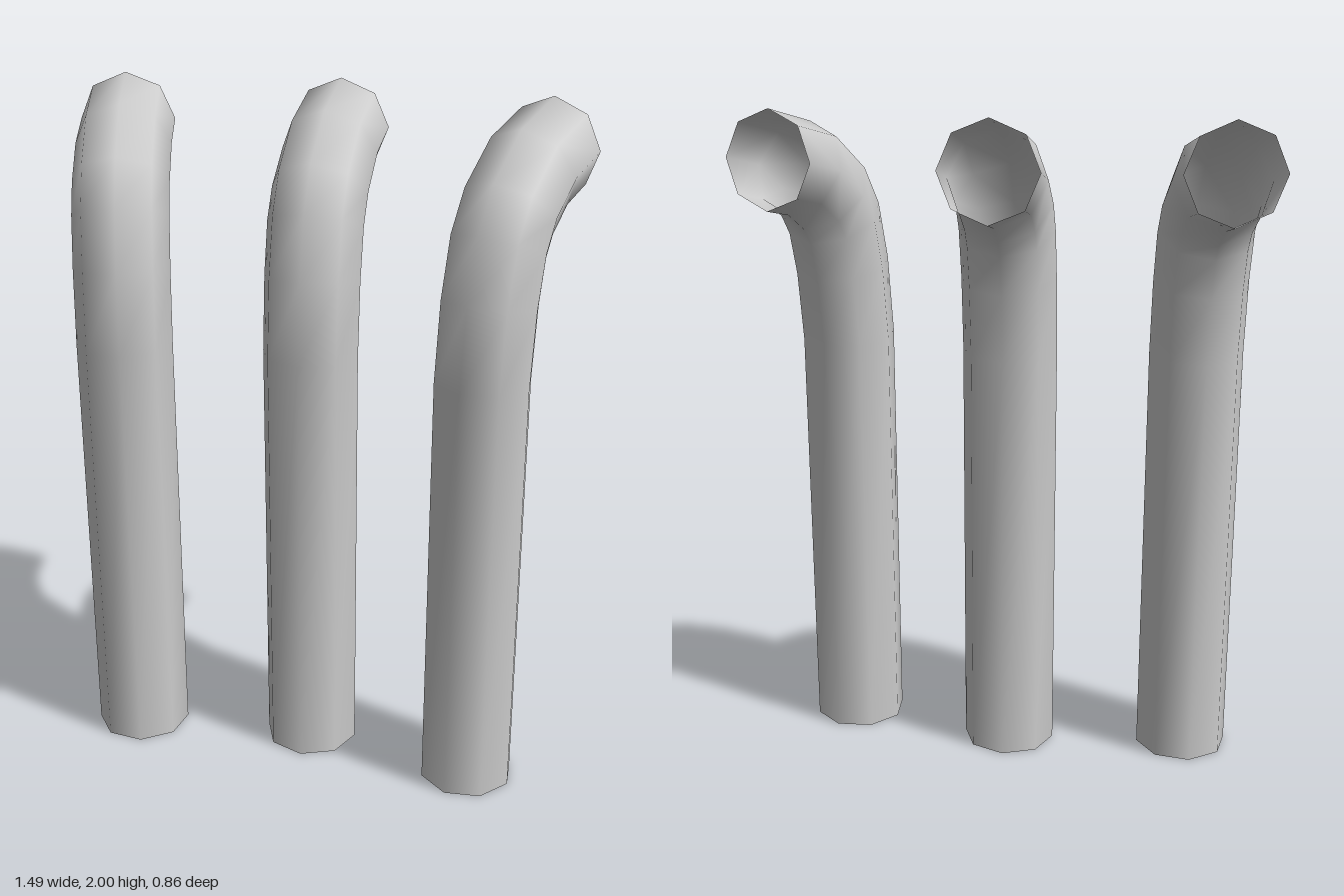
import * as THREE from 'three';

const SIDES = 8;
const RADIUS = 0.141;

// Centre line of a bent pipe: [reach, height, lean from vertical in degrees]
const RINGS = [
  [0, 0, 0],
  [0.008, 1.28, 3],
  [0.033, 1.5, 10],
  [0.072, 1.65, 24],
  [0.127, 1.735, 43],
  [0.244, 1.82, 64],
  [0.398, 1.86, 85],
];

// Open tube swept through the rings, bending towards -z
function pipeGeometry() {
  const positions = [];
  const index = [];
  RINGS.forEach(([reach, height, lean], r) => {
    const t = THREE.MathUtils.degToRad(lean);
    for (let i = 0; i < SIDES; i++) {
      const a = (i / SIDES) * Math.PI * 2;
      const out = RADIUS * Math.sin(a);
      positions.push(RADIUS * Math.cos(a), height + out * Math.sin(t), -reach + out * Math.cos(t));
      if (r < RINGS.length - 1) {
        const p = r * SIDES + i;
        const pn = r * SIDES + ((i + 1) % SIDES);
        index.push(p, p + SIDES, pn, pn, p + SIDES, pn + SIDES);
      }
    }
  });
  const geometry = new THREE.BufferGeometry();
  geometry.setAttribute('position', new THREE.Float32BufferAttribute(positions, 3));
  geometry.setIndex(index);
  geometry.computeVertexNormals();
  return geometry;
}

export function createModel() {
  const group = new THREE.Group();
  group.name = 'bentPipes';
  const material = new THREE.MeshStandardMaterial({ color: 0xcccccc, side: THREE.DoubleSide });
  const geometry = pipeGeometry();

  // Three equal pipes, each turned a little further: [name, x, z, turn]
  const pipes = [
    ['rightPipe', -0.607, -0.02, 0],
    ['middlePipe', -0.065, 0.068, 14.6],
    ['leftPipe', 0.408, 0.292, 32.8],
  ];
  for (const [name, x, z, turn] of pipes) {
    const pipe = new THREE.Mesh(geometry, material);
    pipe.name = name;
    pipe.position.set(x, 0, z);
    pipe.rotation.y = -THREE.MathUtils.degToRad(turn);
    group.add(pipe);
  }
  return group;
}
